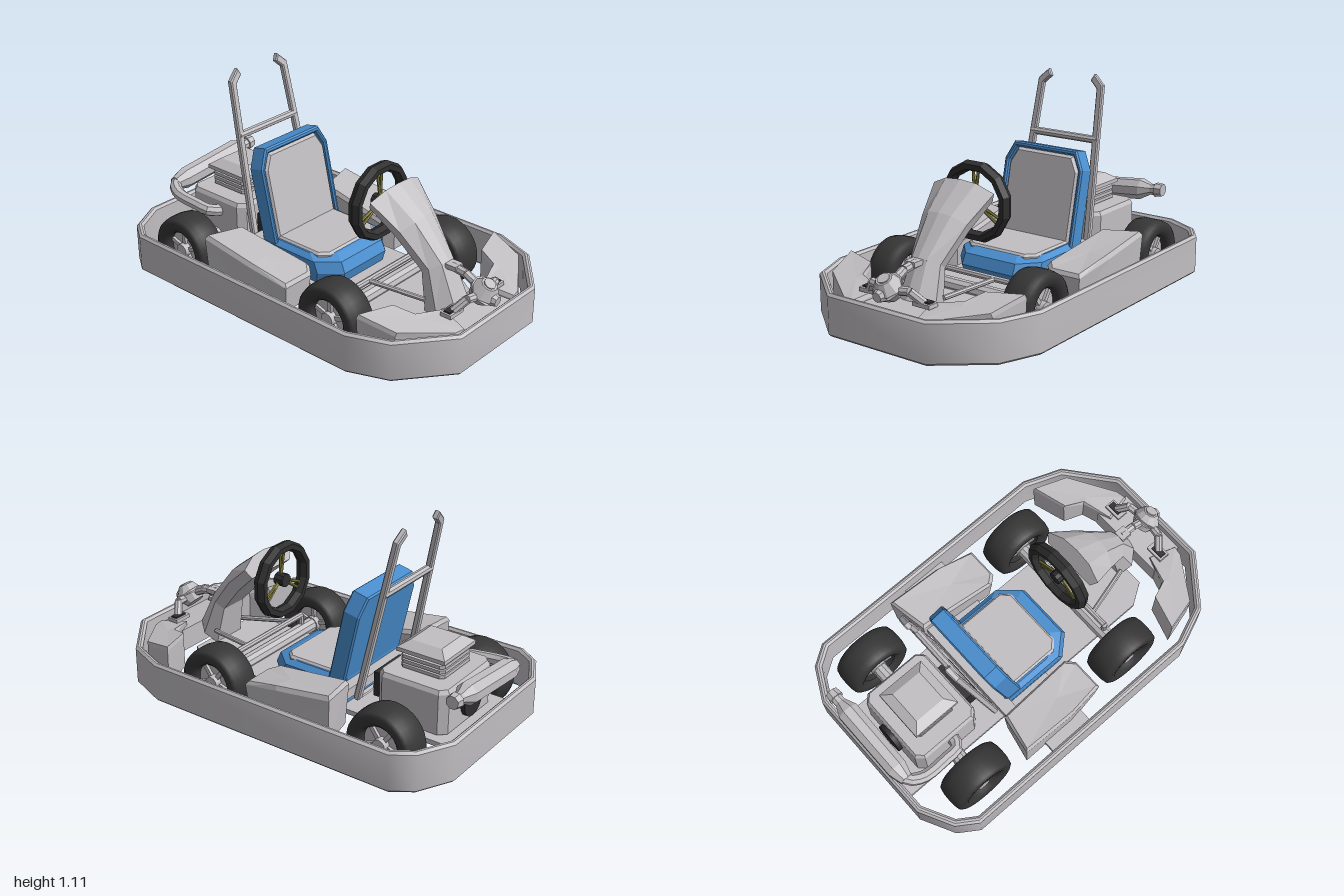
import * as THREE from 'three';
import { toCreasedNormals } from 'three/addons/utils/BufferGeometryUtils.js';

const V = (x, y, z) => new THREE.Vector3(x, y, z);
const material = (name, color) => Object.assign(new THREE.MeshStandardMaterial({ color }), { name });

export function createModel() {
  const kart = new THREE.Group();
  kart.name = 'goKart';
  const grey = material('light grey', 0xc2bfc3);
  const blue = material('seat blue', 0x4a8fd0);
  const rubber = material('tyre black', 0x363636);
  const black = material('trim black', 0x2e2e2e);
  const olive = material('spoke olive', 0x85813c);

  const add = (name, geo, mat = grey, parent = kart) => {
    const mesh = new THREE.Mesh(geo, mat);
    mesh.name = name;
    parent.add(mesh);
    return mesh;
  };
  const facet = (geo) => {
    const g = geo.index ? geo.toNonIndexed() : geo;
    g.computeVertexNormals();
    return g;
  };
  const box = (w, h, d, x, y, z) => new THREE.BoxGeometry(w, h, d).translate(x, y, z);

  // Faceted solid through rings of [x, y, z], capped and turned outward
  function loft(rings) {
    const tris = [], n = rings[0].length;
    const vecs = rings.map((r) => r.map((p) => V(...p)));
    for (let i = 0; i + 1 < vecs.length; i++) {
      for (let j = 0; j < n; j++) {
        const k = (j + 1) % n, a = vecs[i], b = vecs[i + 1];
        tris.push([a[j], a[k], b[k]], [a[j], b[k], b[j]]);
      }
    }
    [vecs[0], vecs[vecs.length - 1]].forEach((ring, end) => {
      const c = V(0, 0, 0);
      ring.forEach((p) => c.addScaledVector(p, 1 / n));
      ring.forEach((p, j) => {
        const q = ring[(j + 1) % n];
        tris.push(end ? [c, p, q] : [c, q, p]);
      });
    });
    const volume = tris.reduce((s, [a, b, c]) => s + a.dot(b.clone().cross(c)), 0);
    if (volume < 0) tris.forEach((t) => t.reverse());
    return facet(new THREE.BufferGeometry().setFromPoints(tris.flat()));
  }

  // Solid with a flat base and a top whose height varies by corner
  const slab = (pts, base, inset, side) => {
    const cx = pts.reduce((s, p) => s + p[0], 0) / pts.length;
    const cz = pts.reduce((s, p) => s + p[1], 0) / pts.length;
    const put = (p, y, d) => [side * (p[0] - Math.sign(p[0] - cx) * d), y, p[1] - Math.sign(p[1] - cz) * d];
    return loft([
      pts.map((p) => put(p, base, inset)),
      pts.map((p) => put(p, p[2] - 0.02, 0)),
      pts.map((p) => put(p, p[2], inset)),
    ]);
  };

  const outline = (half) => [...half, ...half.map(([x, y]) => [-x, y]).reverse()].map(([x, y]) => new THREE.Vector2(x, y));
  function extrude(half, hole, depth, bevel = 0, bevelDepth = bevel) {
    const shape = new THREE.Shape(outline(half));
    if (hole) shape.holes.push(new THREE.Path(outline(hole)));
    return new THREE.ExtrudeGeometry(shape, { depth, bevelEnabled: bevel > 0, bevelSize: bevel, bevelThickness: bevelDepth, bevelSegments: 1 });
  }
  // Horizontal plate: shape x, y become x, z
  const plate = (half, hole, y0, y1, b = 0, bd = b) =>
    extrude(half, hole, y1 - y0 - 2 * bd, b, bd).rotateX(Math.PI / 2).translate(0, y1 - bd, 0);

  // Straight bar between two points
  function rod(a, b, r0, r1 = r0, sides = 8) {
    const d = b.clone().sub(a);
    const g = new THREE.CylinderGeometry(r1, r0, d.length(), sides);
    g.applyQuaternion(new THREE.Quaternion().setFromUnitVectors(V(0, 1, 0), d.normalize()));
    g.translate(...a.clone().add(b).multiplyScalar(0.5).toArray());
    return sides < 12 ? facet(g) : g;
  }
  const path = (name, pts, r) => pts.slice(1).forEach((p, i) => add(name, rod(V(...pts[i]), V(...p), r)));

  // Bumper ring, softly shaded around its corners
  const rim = [[0.37, -0.978], [0.54, -0.89], [0.608, -0.79], [0.608, 0.59], [0.53, 0.79], [0.285, 0.988]];
  const rimInner = rim.map(([x, z]) => [x * 0.985, z * 0.99]);
  add('bumper', toCreasedNormals(plate(rim, rimInner, 0.07, 0.28, 0.012), 0.72));

  // Floor pan, nose floor and side brackets
  add('floorPan', plate([[0.27, -0.965], [0.27, 0.58], [0.2, 0.69]], null, 0.15, 0.175));
  add('noseFloor', loft([
    [[-0.22, 0.13, 0.77], [0.22, 0.13, 0.77], [0.22, 0.25, 0.77], [-0.22, 0.25, 0.77]],
    [[-0.2, 0.13, 0.975], [0.2, 0.13, 0.975], [0.2, 0.22, 0.975], [-0.2, 0.22, 0.975]],
  ]));
  add('sideBracket', box(1.2, 0.03, 0.25, 0, 0.17, -0.145));

  // Side pods and front wings
  for (const s of [1, -1]) {
    add('sidePod', slab([[0.525, -0.405, 0.38], [0.31, -0.365, 0.365], [0.28, 0.07, 0.3], [0.32, 0.115, 0.285],
      [0.495, 0.115, 0.285], [0.525, -0.1, 0.335]], 0.13, 0.012, s));
    add('frontWing', slab([[0.53, 0.585, 0.335], [0.35, 0.64, 0.325], [0.3, 0.74, 0.3], [0.15, 0.8, 0.275],
      [0.19, 0.95, 0.25], [0.24, 0.94, 0.25], [0.48, 0.77, 0.29]], 0.13, 0.006, s));
  }

  // Steering fairing: upper and lower edge (z, y) and half width
  const fairing = [
    [0.79, 0.25, 0.64, 0.17, 0.11], [0.7, 0.43, 0.6, 0.37, 0.09],
    [0.55, 0.61, 0.47, 0.52, 0.135], [0.39, 0.735, 0.34, 0.64, 0.18],
  ];
  add('steeringFairing', loft(fairing.map(([uz, uy, lz, ly, w]) =>
    [[-0.85, 0], [-1, 0.5], [-0.5, 0.92], [0, 1], [0.5, 0.92], [1, 0.5], [0.85, 0]].map(([x, t]) =>
      [x * w, ly + (uy - ly) * t, lz + (uz - lz) * t]))));

  // Steering wheel
  const wheel = new THREE.Group();
  wheel.name = 'steeringWheel';
  wheel.position.set(0, 0.6, 0.27);
  kart.add(wheel);
  add('steeringRim', facet(new THREE.TorusGeometry(0.178, 0.027, 6, 12).rotateZ(Math.PI / 12).scale(1, 1, 1.35)), black, wheel);
  add('steeringHub', rod(V(0, 0, -0.025), V(0, 0, 0.03), 0.035, 0.035, 10), black, wheel);
  for (let i = 0; i < 3; i++) {
    const a = Math.PI / 2 + (i * Math.PI * 2) / 3;
    for (const o of [-0.1, 0.1]) {
      add('steeringSpoke', rod(V(0, 0, 0.01), V(Math.cos(a + o) * 0.165, Math.sin(a + o) * 0.165, 0), 0.008, 0.008, 6), olive, wheel);
    }
  }

  // Pedal frame in the footwell
  path('footwellFrame', [[-0.27, 0.17, 0.36], [-0.27, 0.27, 0.36], [0.27, 0.27, 0.36], [0.27, 0.17, 0.36]], 0.016);
  for (const s of [1, -1]) path('footwellRail', [[s * 0.18, 0.27, 0.36], [s * 0.1, 0.24, 0.64]], 0.013);

  // Nose lamp on three curved arms
  add('lampBody', rod(V(0, 0.31, 0.87), V(0, 0.35, 0.91), 0.05, 0.075, 10));
  add('lampHead', rod(V(0, 0.35, 0.91), V(0, 0.395, 0.935), 0.075, 0.04, 10));
  add('lampCap', rod(V(0, 0.392, 0.933), V(0, 0.4, 0.938), 0.03, 0.03, 10));
  add('lampNose', rod(V(0, 0.33, 0.92), V(0, 0.32, 0.985), 0.05, 0.025, 8));
  for (const s of [1, -1]) {
    path('lampArm', [[s * 0.05, 0.34, 0.9], [s * 0.11, 0.345, 0.89], [s * 0.16, 0.29, 0.85]], 0.022);
    add('lampPad', box(0.1, 0.02, 0.06, s * 0.16, 0.285, 0.845));
    add('lampPadTop', box(0.07, 0.008, 0.035, s * 0.165, 0.299, 0.845), black);
  }
  path('lampArm', [[0, 0.36, 0.88], [0, 0.4, 0.8], [0, 0.41, 0.72]], 0.022);
  add('lampClip', box(0.06, 0.025, 0.06, 0, 0.415, 0.73));

  // Seat base, sloping outward at the sides and front
  const seatRing = (w, front, y) =>
    outline([[w, -0.29], [w, front - 0.1], [w - 0.09, front]]).map((p) => [p.x, y, p.y]);
  add('seatBase', loft([seatRing(0.235, 0.17, 0.15), seatRing(0.246, 0.19, 0.23), seatRing(0.243, 0.165, 0.285), seatRing(0.217, 0.115, 0.308)]), blue);
  add('seatCushion', plate([[0.198, -0.26], [0.198, 0.055], [0.16, 0.093]], null, 0.28, 0.318, 0.012));

  // Tilted seat back with a recessed cushion
  const back = new THREE.Group();
  back.name = 'seatBack';
  back.position.set(0, 0.29, -0.265);
  back.rotation.x = -0.22;
  kart.add(back);
  const shell = [[0.232, -0.05], [0.232, 0.375], [0.187, 0.464]];
  const opening = [[0.224, -0.02], [0.224, 0.371], [0.181, 0.452]];
  const pad = [[0.2, 0], [0.2, 0.36], [0.163, 0.428]];
  add('backShell', extrude(shell, opening, 0.065, 0.008), blue, back);
  add('backPanel', extrude(shell, null, 0.02, 0.008).translate(0, 0, -0.012), blue, back);
  add('backCushion', extrude(pad, null, 0.045, 0.014, 0.018).translate(0, 0, 0.006), grey, back);

  // Roll hoop with crossbar, leaning back
  const hoop = new THREE.Group();
  hoop.name = 'rollHoop';
  hoop.position.set(0, 0.27, -0.365);
  hoop.rotation.x = -0.206;
  kart.add(hoop);
  const bar = [[0.21, -0.04], [0.17, 0.79], [0.13, 0.828], [0.143, 0.853], [0.193, 0.806], [0.235, -0.04]];
  add('hoopFrame', extrude(bar, null, 0.02, 0.006).translate(0, 0, -0.01), grey, hoop);
  add('hoopCrossbar', rod(V(-0.2, 0.53, 0), V(0.2, 0.53, 0), 0.02), grey, hoop);
  add('hoopMount', box(0.62, 0.05, 0.07, 0, 0.27, -0.31));

  // Engine
  const chamfer = (w, d, c, z) => [[w - c, z - d], [w, z - d + c], [w, z + d - c], [w - c, z + d]];
  add('engineBlock', plate(chamfer(0.21, 0.18, 0.03, -0.645), null, 0.16, 0.405, 0.012, 0.02));
  add('cylinderCore', box(0.2, 0.1, 0.18, 0, 0.45, -0.645));
  for (const y of [0.413, 0.438, 0.463]) add('coolingFin', plate(chamfer(0.13, 0.12, 0.02, -0.645), null, y, y + 0.017));
  const square = (w, d, y) => [[-w, y, -0.645 - d], [w, y, -0.645 - d], [w, y, -0.645 + d], [-w, y, -0.645 + d]];
  add('engineCap', loft([square(0.12, 0.11, 0.485), square(0.14, 0.132, 0.495), square(0.14, 0.132, 0.515), square(0.09, 0.085, 0.548), square(0.07, 0.065, 0.548)]));
  add('fuelTank', box(0.22, 0.13, 0.1, 0, 0.26, -0.42), black);
  add('pulley', rod(V(0, 0.28, -0.82), V(0, 0.28, -0.86), 0.08, 0.08, 16), black);

  // Exhaust: closed pipe run and muffler
  const bend = [[-0.18, 0.32, -0.62], [-0.27, 0.34, -0.64], [-0.28, 0.35, -0.72], [-0.28, 0.365, -0.86], [-0.24, 0.385, -0.93], [-0.16, 0.395, -0.94]];
  const run = new THREE.CatmullRomCurve3(bend.map((p) => V(...p)));
  add('exhaustPipe', facet(new THREE.TubeGeometry(run, 14, 0.032, 8)));
  const exhaust = [[-0.24, 0.388, 0.035], [-0.17, 0.395, 0.056], [0.2, 0.43, 0.058], [0.26, 0.437, 0.03], [0.29, 0.44, 0.03], [0.29, 0.44, 0.04], [0.33, 0.443, 0.034]];
  add('muffler', loft(exhaust.map(([x, y, r]) => Array.from({ length: 8 }, (_, i) => {
    const a = ((i + 0.5) * Math.PI) / 4;
    return [x, y + Math.sin(a) * r, -0.935 + Math.cos(a) * r];
  }))));

  // Axles and wheels
  const tyre = [[0.1, -0.06], [0.12, -0.08], [0.155, -0.083], [0.173, -0.071], [0.181, -0.035], [0.182, 0],
    [0.181, 0.035], [0.173, 0.071], [0.155, 0.083], [0.12, 0.08], [0.1, 0.06], [0.1, -0.06]].map((p) => new THREE.Vector2(...p));
  for (const z of [0.355, -0.645]) {
    add('axle', rod(V(-0.4, 0.183, z), V(0.4, 0.183, z), 0.04, 0.04, 10));
    for (const s of [1, -1]) {
      const w = new THREE.Group();
      w.name = 'wheel';
      w.position.set(s * 0.41, 0.183, z);
      w.rotation.z = -s * Math.PI / 2;
      kart.add(w);
      add('tyre', new THREE.LatheGeometry(tyre, 32), rubber, w);
      add('rimDisc', new THREE.CylinderGeometry(0.102, 0.102, 0.06, 24), grey, w);
      add('rimHub', new THREE.CylinderGeometry(0.035, 0.045, 0.13, 12), grey, w);
      for (let i = 0; i < 5; i++) {
        add('rimSpoke', box(0.07, 0.09, 0.022, 0.06, 0, 0).rotateY((i * Math.PI * 2) / 5), grey, w);
      }
    }
  }
  return kart;
}
